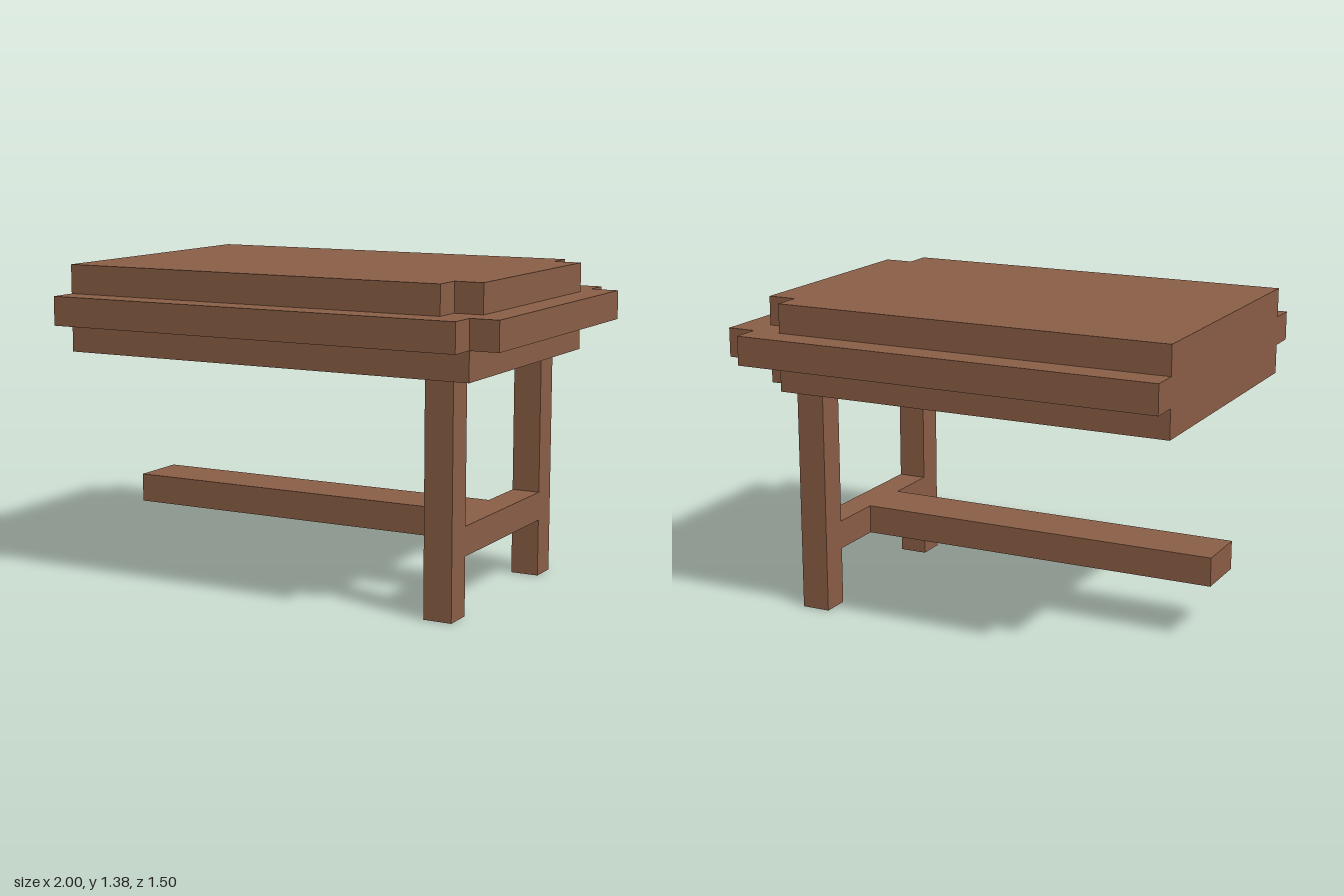
import * as THREE from 'three';

export function createModel() {
  const group = new THREE.Group();
  const wood = new THREE.MeshStandardMaterial({ color: 0x8b5e46 });
  wood.name = 'brown wood';
  const T = 0.125; // common timber thickness

  const add = (name, geometry) => {
    const mesh = new THREE.Mesh(geometry, wood);
    mesh.name = name;
    group.add(mesh);
  };

  // Box given by its minimum and maximum corners
  const box = (name, [x0, y0, z0], [x1, y1, z1]) => {
    const g = new THREE.BoxGeometry(x1 - x0, y1 - y0, z1 - z0);
    g.translate((x0 + x1) / 2, (y0 + y1) / 2, (z0 + z1) / 2);
    add(name, g);
  };

  // Slab from x = -1 to xMax with small square notches in its +x corners
  const slab = (name, y, xMax, zMax, frontNotch, backNotch) => {
    const corner = (s, notched) => notched
      ? [[xMax - T, s * zMax], [xMax - T, s * (zMax - T)], [xMax, s * (zMax - T)]]
      : [[xMax, s * zMax]];
    // Shape y becomes -z once the slab is laid flat
    const points = [
      [-1, -zMax], ...corner(-1, frontNotch),
      ...corner(1, backNotch).reverse(), [-1, zMax],
    ].map(([x, v]) => new THREE.Vector2(x, v));
    const g = new THREE.ExtrudeGeometry(new THREE.Shape(points), { depth: T, bevelEnabled: false });
    g.rotateX(-Math.PI / 2);
    g.translate(0, y, 0);
    add(name, g);
  };

  // Stepped table top
  slab('lowerSlab', 1, 0.875, 0.625, false, true);
  slab('middleSlab', 1.125, 1, 0.75, true, true);
  slab('upperSlab', 1.25, 0.875, 0.625, true, true);

  // Pair of legs at the +x end
  box('frontLeg', [0.625, 0, 0.375], [0.75, 1, 0.5]);
  box('backLeg', [0.625, 0, -0.5], [0.75, 1, -0.375]);

  // Stretchers: one between the legs, one running the length of the table
  box('crossStretcher', [0.625, 0.25, -0.375], [0.75, 0.375, 0.375]);
  box('longStretcher', [-1, 0.25, -0.125], [0.625, 0.375, 0.125]);

  return group;
}
